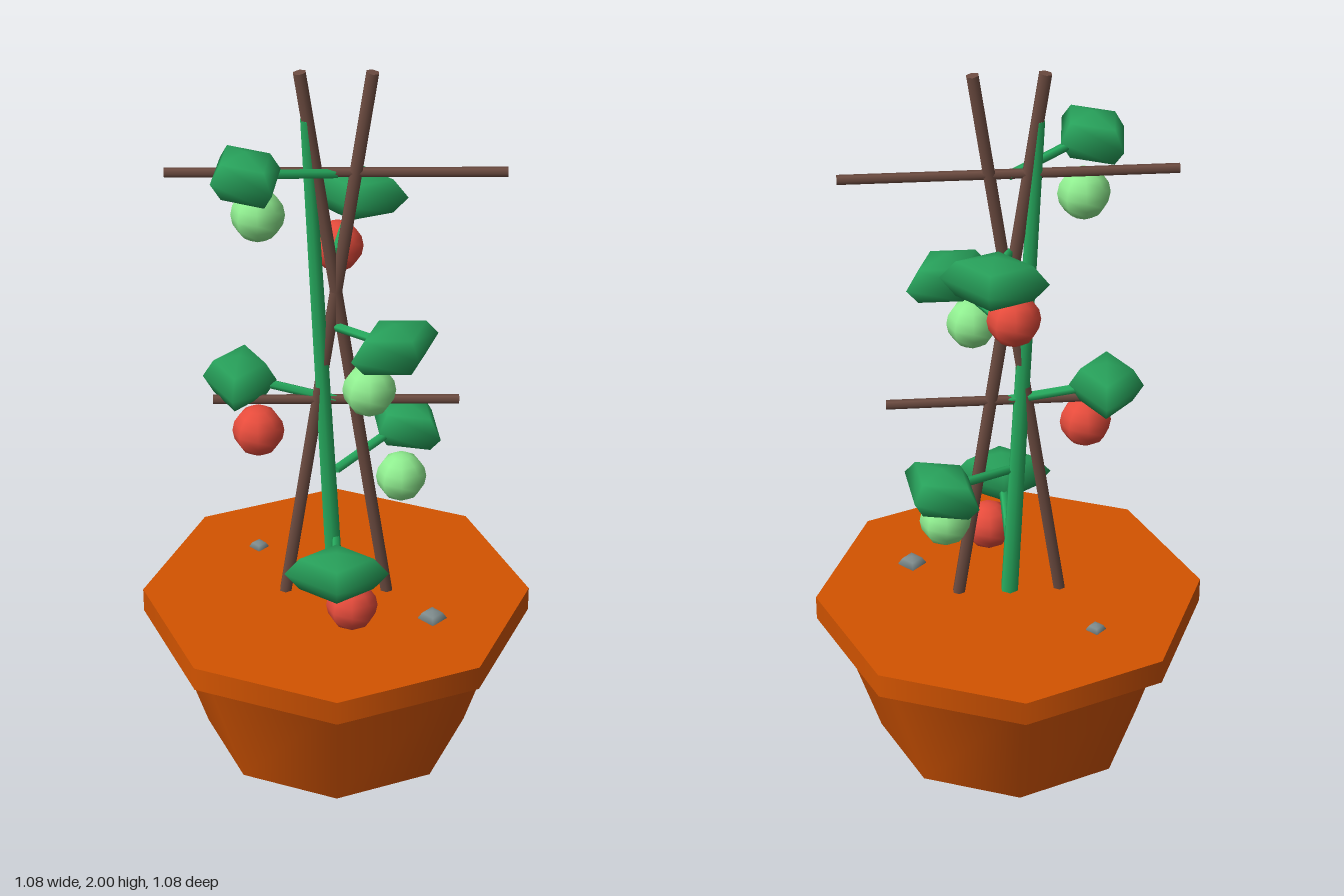
import * as THREE from 'three';

const mat = (color) => new THREE.MeshStandardMaterial({ color });
const terracotta = mat(0xd35400), wood = mat(0x6d4c41), stemGreen = mat(0x27ae60);
const leafGreen = mat(0x27a05a), ripe = mat(0xe74c3c), unripe = mat(0x90ee90), grey = mat(0x7f8c8d);

const V = (x, y, z) => new THREE.Vector3(x, y, z);

function add(parent, name, geometry, material, pos) {
  const mesh = new THREE.Mesh(geometry, material);
  mesh.name = name;
  mesh.position.copy(pos);
  parent.add(mesh);
  return mesh;
}

// Straight rod from a to b, tapering from r0 to r1
function rod(parent, name, a, b, r0, r1, material, sides = 6) {
  const dir = b.clone().sub(a);
  const mesh = add(parent, name, new THREE.CylinderGeometry(r1, r0, dir.length(), sides), material,
    a.clone().add(b).multiplyScalar(0.5));
  mesh.quaternion.setFromUnitVectors(V(0, 1, 0), dir.normalize());
  return mesh;
}

// Point at a given angle around the stem axis
const around = (angle, radius, y) => V(Math.sin(angle) * radius, y, Math.cos(angle) * radius);

export function createModel() {
  const model = new THREE.Group();
  model.name = 'pottedFruitPlant';

  // Octagonal pot and rim
  add(model, 'potBody', new THREE.CylinderGeometry(0.5, 0.368, 0.4, 8), terracotta, V(0, 0.2, 0));
  add(model, 'potRim', new THREE.CylinderGeometry(0.54, 0.54, 0.07, 8), terracotta, V(0, 0.415, 0));

  // Crossed stakes and the two rails tied across them
  for (const s of [-1, 1]) {
    rod(model, 'stake', V(s * 0.145, 0.42, 0), V(-s * 0.092, 1.998, 0), 0.018, 0.018, wood);
  }
  for (const [half, y] of [[0.33, 1.06], [0.44, 1.725]]) {
    rod(model, 'crossRail', V(-half, y, 0), V(half, y, 0), 0.013, 0.013, wood);
  }

  // Main stem
  rod(model, 'stem', V(0, 0.42, 0), V(-0.075, 1.87, 0), 0.026, 0.018, stemGreen);

  // Leaves spiral up the stem, each with a twig and a hanging fruit
  const leafGeometry = new THREE.SphereGeometry(1, 4, 4);
  const fruitGeometry = new THREE.SphereGeometry(0.07, 8, 8);
  for (let i = 0; i < 6; i++) {
    const angle = i * 2.3, y = 0.67 + i * 0.22, odd = i % 2 === 1;
    const branch = new THREE.Group();
    branch.name = 'branch';
    model.add(branch);
    rod(branch, 'twig', V(0, y - 0.05, 0), around(angle, 0.24, y), 0.013, 0.013, stemGreen, 5);
    const leaf = add(branch, 'leaf', leafGeometry, leafGreen, around(angle, 0.26, y));
    leaf.scale.set(0.14, 0.068, 0.1);
    leaf.rotation.y = angle;
    add(branch, 'fruit', fruitGeometry, odd ? unripe : ripe,
      around(angle + (odd ? -0.2 : 0.2), 0.21, y - 0.135));
  }

  // Pebbles on the soil
  for (const [x, z, r] of [[0.264, 0.148, 0.04], [-0.22, -0.22, 0.028]]) {
    add(model, 'pebble', new THREE.SphereGeometry(r, 4, 4), grey, V(x, 0.452, z)).scale.y = 0.6;
  }
  return model;
}
